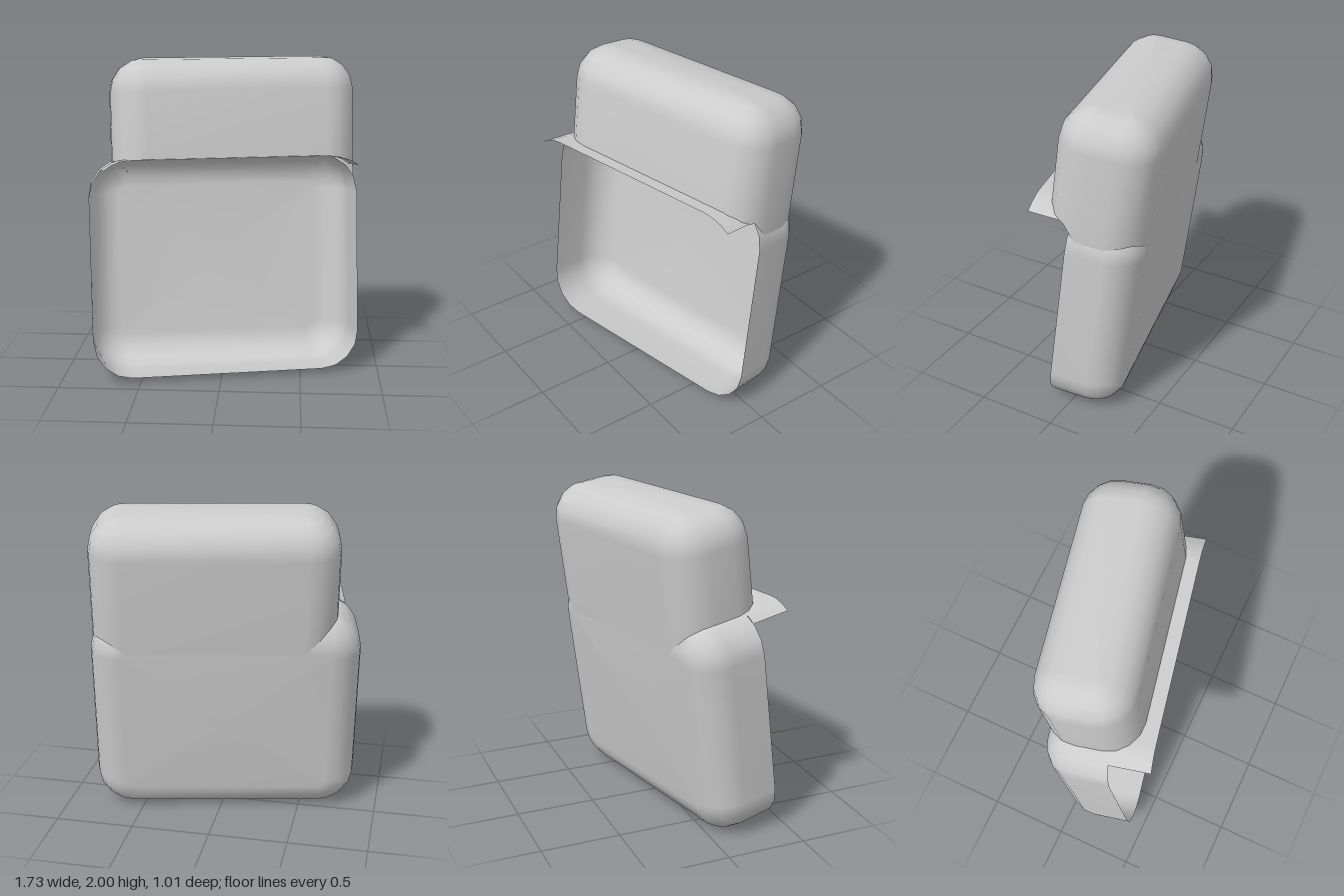
import * as THREE from 'three';

const SEG = 4; // facets per rounded corner

// Rounded rectangle as a loop of [a, b] points, counter-clockwise
function roundedLoop(a0, a1, b0, b1, r) {
  const pts = [];
  const centres = [[a1 - r, b1 - r], [a0 + r, b1 - r], [a0 + r, b0 + r], [a1 - r, b0 + r]];
  centres.forEach(([ca, cb], q) => {
    for (let i = 0; i <= SEG; i++) {
      const t = (q + i / SEG) * Math.PI / 2;
      pts.push([ca + r * Math.cos(t), cb + r * Math.sin(t)]);
    }
  });
  return pts;
}

// Skin between loops of [x, y, z]; optionally closed round and capped at the end
function loft(loops, closed, cap) {
  const n = loops[0].length, index = [], pos = loops.flat(2);
  for (let j = 0; j < loops.length - 1; j++) {
    for (let i = 0; i < (closed ? n : n - 1); i++) {
      const a = j * n + i, b = j * n + (i + 1) % n;
      index.push(a, b, b + n, a, b + n, a + n);
    }
  }
  if (cap) {
    const last = loops[loops.length - 1], base = (loops.length - 1) * n;
    const c = [0, 1, 2].map(k => last.reduce((s, p) => s + p[k], 0) / n);
    pos.push(...c);
    for (let i = 0; i < n; i++) index.push(base + i, base + (i + 1) % n, base + n);
  }
  const g = new THREE.BufferGeometry();
  g.setAttribute('position', new THREE.Float32BufferAttribute(pos, 3));
  g.setIndex(index);
  g.computeVertexNormals();
  return g;
}

export function createModel() {
  const grey = new THREE.MeshStandardMaterial({ color: 0xcccccc, side: THREE.DoubleSide });
  grey.name = 'plain grey';

  const L = -0.855, R = 0.835, BOTTOM = -0.006, SHELF = 1.37; // open tray outline
  const BACK = -0.155, RIM = 0.277, CORNER = 0.24, EDGE = 0.2;
  const TOP = 1.988, FRONT = 0.447, LIP = 0.537;

  const body = new THREE.Group();
  body.name = 'body';
  const add = (name, geometry) => {
    const m = new THREE.Mesh(geometry, grey);
    m.name = name;
    body.add(m);
  };

  // Lower tray: open at the front, rounded towards the back panel
  const trayLoops = [];
  const trayAt = (inset, z) =>
    roundedLoop(L + inset, R - inset, BOTTOM + inset, SHELF - inset, CORNER - inset)
      .map(([x, y]) => [x, y, z]);
  trayLoops.push(trayAt(0, RIM));
  for (let i = 0; i <= SEG; i++) {
    const t = i / SEG * Math.PI / 2;
    trayLoops.push(trayAt(EDGE * (1 - Math.cos(t)), BACK + EDGE * (1 - Math.sin(t))));
  }
  // outline runs anticlockwise seen from the front, so the loft faces outwards when reversed
  add('lowerTray', loft(trayLoops.map(l => l.slice().reverse()), true, true));

  // Lip: the top of the tray outline drawn forward, cut off level at both ends
  const cut = 1.31;
  const dip = Math.acos((cut - (SHELF - CORNER)) / CORNER);
  const arch = [];
  for (let i = 0; i <= 3; i++) {
    const t = dip * (1 - i / 3);
    arch.push([L + CORNER - CORNER * Math.sin(t), SHELF - CORNER + CORNER * Math.cos(t)]);
  }
  for (let i = 0; i <= 3; i++) {
    const t = dip * i / 3;
    arch.push([R - CORNER + CORNER * Math.sin(t) + 0.03 * i / 3, SHELF - CORNER + CORNER * Math.cos(t)]);
  }
  add('lip', loft([LIP, RIM].map(z => arch.map(([x, y]) => [x, y, z])), false, false));

  // Upper block: its lower edge follows the rounded shoulders of the tray
  const drop = (d, r) => (d >= r ? 0 : r - Math.sqrt(Math.max(0, r * r - (r - d) ** 2)));
  const X0 = -0.705, X1 = 0.82;
  const upperAt = inset =>
    roundedLoop(X0 + inset, X1 - inset, BACK + inset, FRONT - inset, 0.215 - inset);
  const upperLoops = [upperAt(0).map(([x, z]) => {
    const fall = drop(z - BACK, EDGE) + drop(x - L, CORNER) + drop(R - x, CORNER);
    return [x, SHELF - Math.min(fall, z > 0.24 ? 0.06 : 0.4), z];
  })];
  const r = 0.21;
  for (let i = 0; i <= SEG; i++) {
    const t = i / SEG * Math.PI / 2;
    upperLoops.push(upperAt(r * (1 - Math.cos(t))).map(([x, z]) => [x, TOP - r * (1 - Math.sin(t)), z]));
  }
  add('upperBlock', loft(upperLoops.map(l => l.slice().reverse()), true, true));

  // Lean back and turn slightly
  body.rotation.order = 'YXZ';
  body.rotation.set(THREE.MathUtils.degToRad(-7.5), THREE.MathUtils.degToRad(11.6), 0);

  const model = new THREE.Group();
  model.name = 'model';
  model.add(body);
  return model;
}
